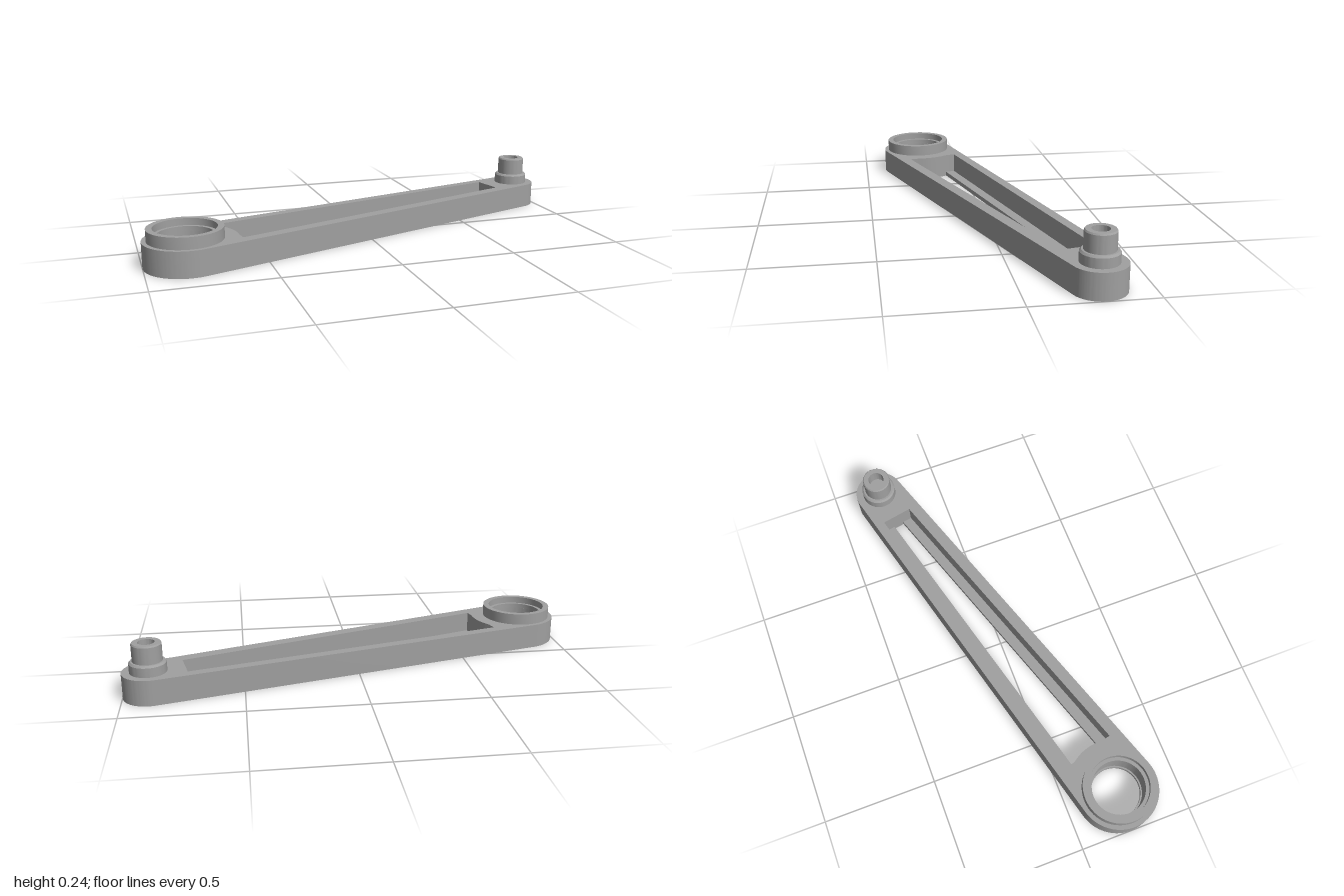
import * as THREE from 'three';
import { toCreasedNormals } from 'three/addons/utils/BufferGeometryUtils.js';

export function createModel() {
  const group = new THREE.Group();
  const metal = new THREE.MeshStandardMaterial({ color: 0xa0a0a0 });
  metal.name = 'grey metal';

  // Plan coordinates: (x, -z)
  const hub = { x: -0.825, y: -0.225, r: 0.175 };
  const tip = { x: 0.89, y: 0.29, r: 0.11 };
  const bore = 0.115, thickness = 0.11, ledge = 0.02;

  function add(name, geometry) {
    const mesh = new THREE.Mesh(toCreasedNormals(geometry, 0.5), metal);
    mesh.name = name;
    group.add(mesh);
    return mesh;
  }
  function plate(name, shape, depth) {
    const g = new THREE.ExtrudeGeometry(shape, { depth, bevelEnabled: false, curveSegments: 40 });
    return add(name, g.rotateX(-Math.PI / 2));
  }
  function turned(name, at, profile) {
    const g = new THREE.LatheGeometry(profile.map(([r, y]) => new THREE.Vector2(r, y)), 56);
    return add(name, g.translate(at.x, 0, -at.y));
  }
  const polygon = (pts) => new THREE.Shape(pts.map(([x, y]) => new THREE.Vector2(x, y)));

  // Tapered arm: two round ends joined by tangent lines
  const dx = tip.x - hub.x, dy = tip.y - hub.y;
  const angle = Math.atan2(dy, dx);
  const spread = Math.acos((hub.r - tip.r) / Math.hypot(dx, dy));
  const outline = new THREE.Shape();
  outline.absarc(tip.x, tip.y, tip.r, angle - spread, angle + spread, false);
  outline.absarc(hub.x, hub.y, hub.r, angle + spread, angle - spread + 2 * Math.PI, false);

  // Long window with a curved end around the hub
  const slot = new THREE.Path();
  slot.moveTo(-0.666, -0.05);
  slot.lineTo(0.73, 0.318);
  slot.lineTo(0.757, 0.184);
  slot.lineTo(-0.602, -0.28);
  slot.absarc(hub.x, hub.y, 0.215, -0.037, 0.66, false);
  slot.closePath();
  const hole = new THREE.Path();
  hole.absarc(hub.x, hub.y, bore, 0, 2 * Math.PI, true);
  outline.holes.push(slot, hole);
  plate('arm', outline, thickness);

  // Thin ledges along the bottom of the window
  plate('backLedge', polygon([[-0.666, -0.05], [-0.655, -0.093], [0.739, 0.274], [0.73, 0.318]]), ledge);
  plate('frontLedge', polygon([[-0.602, -0.28], [0.757, 0.184], [0.749, 0.227], [-0.61, -0.233]]), ledge);

  // Raised collar with a counterbore, and a small lip at the foot of the bore
  turned('hubCollar', hub, [
    [0.156, thickness], [0.156, 0.16], [0.13, 0.16], [0.13, 0.13], [bore, 0.13], [bore, thickness],
  ]);
  turned('boreLip', hub, [[bore, 0.02], [0.108, 0.02], [0.108, 0], [bore, 0]]);

  // Stepped pin with a blind hole in its top
  turned('pin', tip, [
    [0.077, thickness], [0.077, 0.15], [0.07, 0.158], [0.062, 0.158],
    [0.062, 0.23], [0.058, 0.236], [0.035, 0.236], [0.035, 0.18], [0, 0.18],
  ]);
  return group;
}
